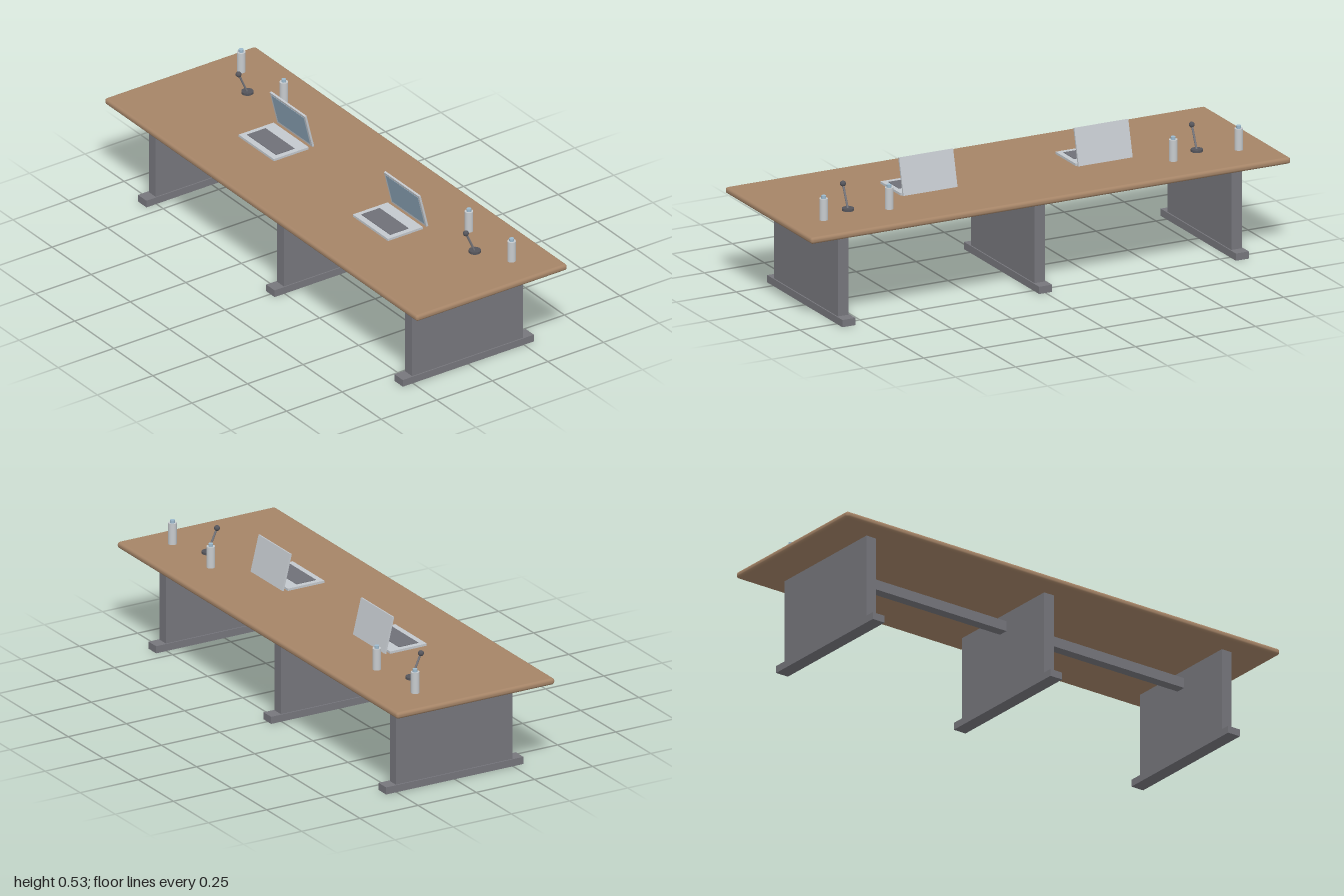
import * as THREE from 'three';
import { RoundedBoxGeometry } from 'three/addons/geometries/RoundedBoxGeometry.js';

const material = (name, color) => {
  const m = new THREE.MeshStandardMaterial({ color });
  m.name = name;
  return m;
};

export function createModel() {
  const wood = material('wood', 0xa58467);
  const steel = material('grey steel', 0x76767c);
  const silver = material('silver', 0xc3c8cd);
  const glass = material('screen blue', 0x8ea8ba);
  const keys = material('key grey', 0x6f7078);
  const bottleWhite = material('bottle silver', 0xc6cacd);
  const capBlue = material('cap blue', 0x9dbace);
  const dark = material('microphone dark', 0x55555b);

  const model = new THREE.Group();
  model.name = 'conferenceTable';

  const add = (parent, name, geometry, mat, x, y, z) => {
    const mesh = new THREE.Mesh(geometry, mat);
    mesh.name = name;
    mesh.position.set(x, y, z);
    parent.add(mesh);
    return mesh;
  };
  const box = (w, h, d) => new THREE.BoxGeometry(w, h, d);
  const group = (name, x, y, z) => {
    const g = new THREE.Group();
    g.name = name;
    g.position.set(x, y, z);
    model.add(g);
    return g;
  };

  // Table top with rounded edges
  const topY = 0.382;
  add(model, 'tableTop', new RoundedBoxGeometry(2, 0.025, 0.68, 4, 0.011), wood, 0, topY - 0.0125, 0);

  // Three panel legs with feet
  for (const x of [-0.82, 0, 0.82]) {
    const leg = group('leg', x, 0, 0);
    add(leg, 'legPanel', box(0.044, 0.33, 0.5), steel, 0, 0.193, 0);
    add(leg, 'foot', box(0.054, 0.028, 0.59), steel, 0, 0.014, 0);
  }
  // Rail joining the legs
  add(model, 'rail', box(1.6, 0.04, 0.04), steel, 0, 0.305, 0);

  // Laptops, each with its lid tilted towards the front
  for (const x of [-0.365, 0.365]) {
    const laptop = group('laptop', x, topY, 0);
    add(laptop, 'laptopBase', box(0.225, 0.009, 0.157), silver, 0, 0.0045, 0.0235);
    add(laptop, 'keyboard', box(0.185, 0.003, 0.083), keys, 0, 0.0095, 0.0365);
    const lid = new THREE.Group();
    lid.name = 'laptopLid';
    lid.position.set(0, 0.074, -0.0585);
    lid.rotation.x = 0.243;
    laptop.add(lid);
    add(lid, 'lidPanel', box(0.225, 0.143, 0.008), silver, 0, 0, 0);
    add(lid, 'screen', box(0.205, 0.123, 0.002), glass, 0, 0, 0.004);
  }

  // Bottles with caps
  for (const x of [-0.865, -0.592, 0.592, 0.865]) {
    const bottle = group('bottle', x, 0.387, -0.1815);
    add(bottle, 'bottleBody', new THREE.CylinderGeometry(0.016, 0.016, 0.083, 24), bottleWhite, 0, 0.0415, 0);
    add(bottle, 'bottleCap', new THREE.CylinderGeometry(0.009, 0.009, 0.011, 24), capBlue, 0, 0.0885, 0);
  }

  // Microphones with leaning stems
  for (const x of [-0.727, 0.727]) {
    const mic = group('microphone', x, topY, -0.113);
    add(mic, 'microphoneBase', new THREE.CylinderGeometry(0.0225, 0.0225, 0.009, 28), dark, 0, 0.0045, 0);
    const path = new THREE.LineCurve3(new THREE.Vector3(0, 0.007, 0.002), new THREE.Vector3(0, 0.09, 0.039));
    add(mic, 'microphoneStem', new THREE.TubeGeometry(path, 1, 0.004, 12), steel, 0, 0, 0);
    add(mic, 'microphoneHead', new THREE.SphereGeometry(0.011, 20, 14), dark, 0, 0.0915, 0.04);
  }

  return model;
}
